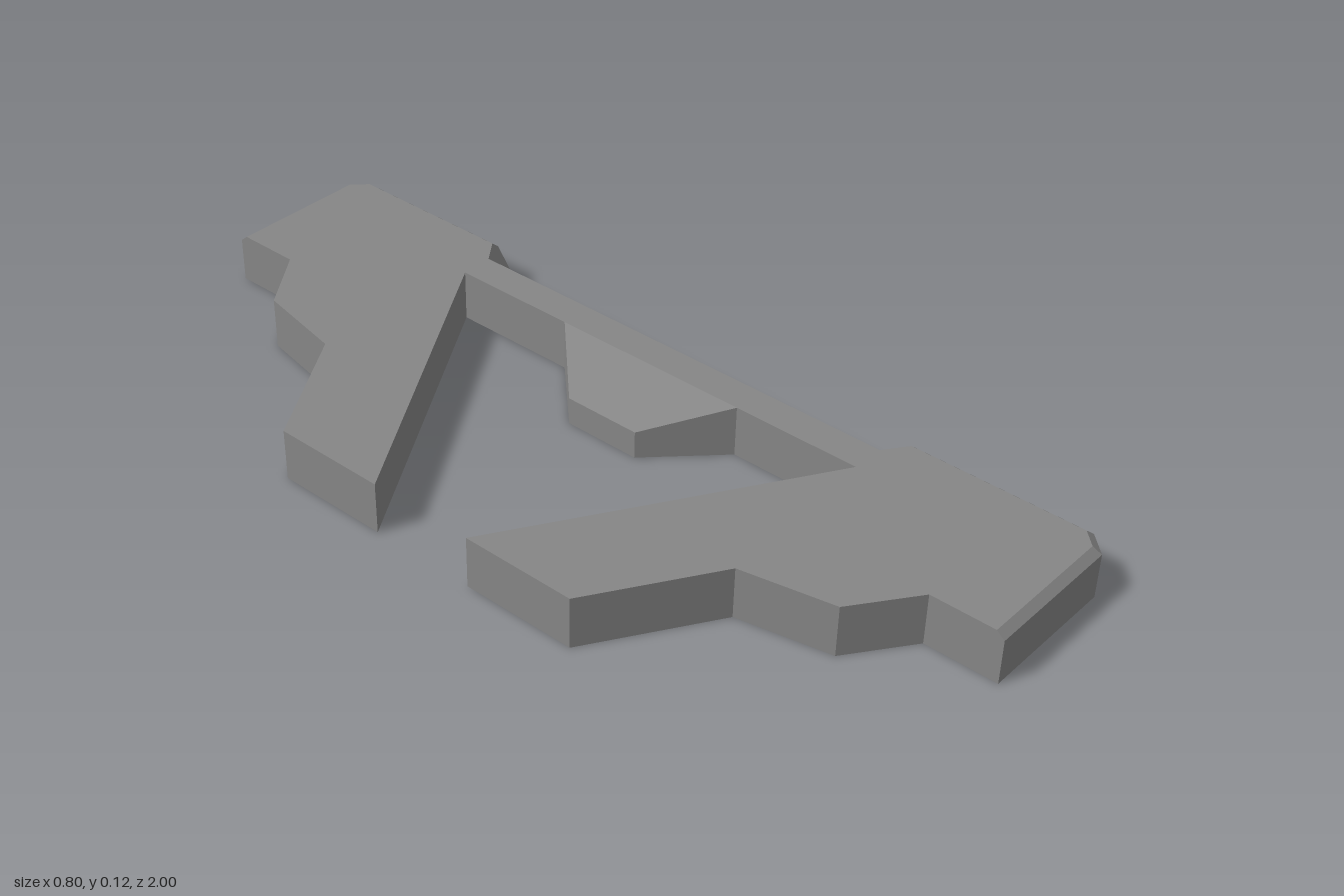
import * as THREE from 'three';

const H = 0.115; // full thickness

// Closed solid from stacked rings of [x, y, z] points (counter-clockwise seen from above)
function loft(name, rings) {
  const pos = [];
  const tri = (a, b, c) => pos.push(...a, ...b, ...c);
  const n = rings[0].length;
  for (let r = 0; r < rings.length - 1; r++) {
    const lo = rings[r], hi = rings[r + 1];
    for (let i = 0; i < n; i++) {
      const j = (i + 1) % n;
      tri(lo[i], lo[j], hi[j]);
      tri(lo[i], hi[j], hi[i]);
    }
  }
  const cap = (ring, up) => {
    const flat = ring.map(([x, , z]) => new THREE.Vector2(x, -z));
    for (const [a, b, c] of THREE.ShapeUtils.triangulateShape(flat, [])) {
      if (up) tri(ring[a], ring[b], ring[c]);
      else tri(ring[a], ring[c], ring[b]);
    }
  };
  cap(rings[0], false);
  cap(rings[rings.length - 1], true);

  const geo = new THREE.BufferGeometry();
  geo.setAttribute('position', new THREE.Float32BufferAttribute(pos, 3));
  geo.computeVertexNormals();
  const mesh = new THREE.Mesh(geo, new THREE.MeshStandardMaterial({ color: 0x868686, flatShading: true }));
  mesh.name = name;
  return mesh;
}

export function createModel() {
  const group = new THREE.Group();
  group.name = 'bracket';

  // Half outline: x, z, then bevel start height and top x, z where the edge is bevelled
  const half = [
    [0.255, 0.52], [-0.4, 0.12], [-0.4, 0.376], [-0.137, 0.54], [-0.097, 0.743], [0.037, 0.84],
    [0.037, 1, 0.1, 0.037, 0.982],
    [0.357, 1, 0.1, 0.35, 0.982],
    [0.4, 0.957, 0.1, 0.382, 0.95],
    [0.4, 0.56, 0.1, 0.382, 0.56],
    [0.4, 0.522, 0.05, 0.33, 0.522], // start of the deep bevel along the beam
  ].map(([x, z, mid = 0.1, tx = x, tz = z]) => ({ x, z, mid, tx, tz }));
  const mirrored = half.map((p) => ({ ...p, z: -p.z, tz: -p.tz })).reverse();
  const outline = [...half, ...mirrored];

  // Beam with both end pads and slanted arms
  group.add(loft('beamAndArms', [
    outline.map((p) => [p.x, 0, p.z]),
    outline.map((p) => [p.x, p.mid, p.z]),
    outline.map((p) => [p.tx, H, p.tz]),
  ]));

  // Sloping middle tab
  const tab = [[0.255, -0.23, H], [0.112, -0.088, 0.062], [0.112, 0.088, 0.062], [0.255, 0.23, H]];
  group.add(loft('middleTab', [
    tab.map(([x, z]) => [x, 0, z]),
    tab.map(([x, z, y]) => [x, y, z]),
  ]));

  return group;
}
